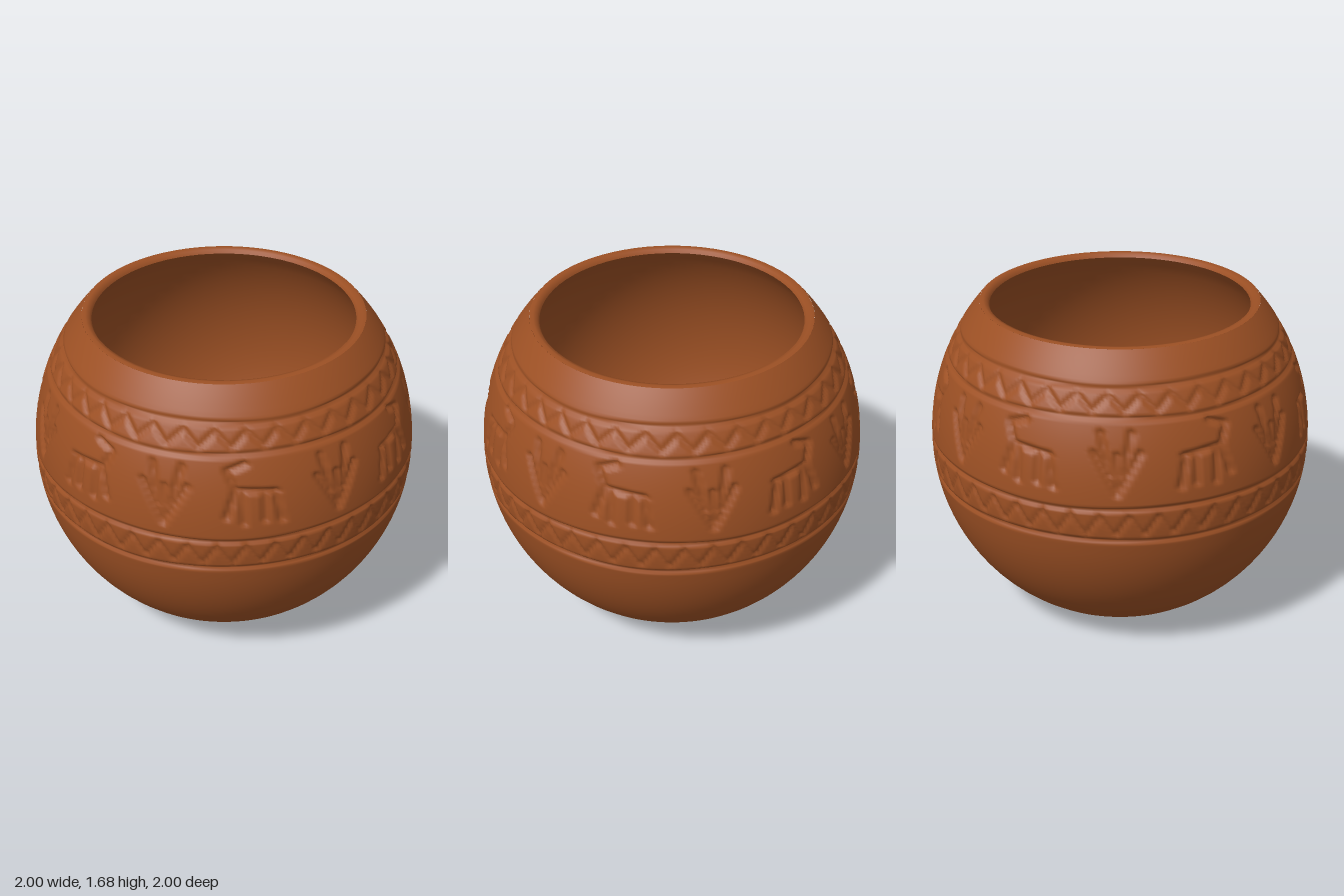
import * as THREE from 'three';
import { mergeVertices } from 'three/addons/utils/BufferGeometryUtils.js';

const HEIGHT = 1.68, WALL = 0.05, MID = 0.93;

// Outer radius of the globe-shaped wall at height y
const radiusAt = (y) => Math.sqrt(1 - ((y - MID) / (y < MID ? 1.015 : 1.08)) ** 2);

// Incised motifs as strokes [x1, y1, x2, y2] around the middle of the frieze
const SPRIG = [
  [0, -0.15, 0, 0.04], [0, -0.15, -0.11, 0.05], [0, -0.15, 0.11, 0.05],
  [-0.03, -0.06, -0.07, 0.14], [0.03, -0.06, 0.08, 0.14],
];
const ANIMAL = [
  [-0.11, 0.02, 0.09, 0.04], [-0.1, 0.02, -0.13, -0.13], [-0.05, 0.01, -0.05, -0.12],
  [0.06, 0.02, 0.05, -0.13], [0.09, 0.03, 0.13, -0.1], [0.09, 0.04, 0.13, 0.13],
  [0.13, 0.13, 0.04, 0.16],
];
const MOTIFS = 14, STEP = (Math.PI * 2) / MOTIFS;

function strokeDistance(x, y, [x1, y1, x2, y2]) {
  const dx = x2 - x1, dy = y2 - y1;
  const t = THREE.MathUtils.clamp(((x - x1) * dx + (y - y1) * dy) / (dx * dx + dy * dy), 0, 1);
  return Math.hypot(x - x1 - t * dx, y - y1 - t * dy);
}

const groove = (distance, width, depth) => depth * Math.max(0, 1 - distance / width);

// Depth of the carving at an angle and height
function carving(angle, y) {
  let cut = 0;
  // Border lines, each wavering slightly
  for (const line of [0.8, 0.97, 1.4, 1.53]) {
    const wobble = 0.005 * Math.sin(angle * 5 + line * 20);
    cut = Math.max(cut, groove(Math.abs(y - line - wobble), 0.016, 0.018));
  }
  // Zigzag inside both borders
  for (const [low, high, teeth] of [[0.83, 0.94, 44], [1.43, 1.5, 36]]) {
    if (y < low - 0.02 || y > high + 0.02) continue;
    const phase = ((angle / (Math.PI * 2)) * teeth) % 1;
    const zig = low + (high - low) * Math.abs(2 * phase - 1);
    cut = Math.max(cut, groove(Math.abs(y - zig), 0.03, 0.014));
  }
  // Sprigs and animals in the wide frieze
  if (y > 1 && y < 1.39) {
    const index = Math.round(angle / STEP) % MOTIFS;
    const x = (angle - Math.round(angle / STEP) * STEP) * 0.96;
    const strokes = index % 2 ? SPRIG : ANIMAL;
    const flip = index % 4 > 1 ? -1 : 1;
    for (const s of strokes) {
      cut = Math.max(cut, groove(strokeDistance(x * flip, y - 1.2, s), 0.024, 0.022));
    }
  }
  return cut;
}

function lathe(points, segments) {
  return new THREE.LatheGeometry(points.map(([r, y]) => new THREE.Vector2(r, y)), segments);
}

function carvedWall() {
  // Coarse rows on the plain areas, fine rows through the carved belt
  const rows = [];
  for (let i = 0; i < 16; i++) rows.push((i / 16) * 0.76);
  for (let i = 0; i <= 82; i++) rows.push(0.76 + i * 0.01);
  rows.push(1.61, 1.64, 1.665, HEIGHT);
  const geometry = lathe(rows.map((y) => [radiusAt(y), y]), 360);
  const p = geometry.attributes.position;
  for (let i = 0; i < p.count; i++) {
    const x = p.getX(i), y = p.getY(i), z = p.getZ(i);
    const angle = (Math.atan2(x, z) + Math.PI * 2) % (Math.PI * 2);
    const scale = 1 - carving(angle, y) / Math.hypot(x, z);
    p.setXYZ(i, x * scale, y, z * scale);
  }
  // Weld the seam so the shading runs round smoothly
  geometry.deleteAttribute('uv');
  geometry.deleteAttribute('normal');
  const welded = mergeVertices(geometry, 1e-5);
  welded.computeVertexNormals();
  return welded;
}

export function createModel() {
  const pot = new THREE.Group();
  pot.name = 'carvedPot';
  const clay = new THREE.MeshStandardMaterial({ color: 0x9c5024 });
  clay.name = 'terracotta';

  const add = (name, geometry) => {
    const mesh = new THREE.Mesh(geometry, clay);
    mesh.name = name;
    pot.add(mesh);
  };

  add('carvedWall', carvedWall());
  add('base', lathe([[0, 0], [radiusAt(0), 0]], 72));

  // Softly rounded lip
  const top = radiusAt(HEIGHT);
  add('rim', lathe([[top, HEIGHT], [top - 0.02, HEIGHT + 0.004], [top - 0.04, HEIGHT - 0.002], [top - WALL, HEIGHT - 0.02]], 72));

  // Hollow inside, following the wall down to a flat floor
  const inside = [];
  for (let i = 0; i <= 28; i++) {
    const y = HEIGHT - 0.02 - (i / 28) * (HEIGHT - 0.08);
    inside.push([i ? radiusAt(y) - WALL - 0.01 : top - WALL, y]);
  }
  inside.push([0.36, 0.05], [0, 0.05]);
  add('interior', lathe(inside, 72));

  return pot;
}
